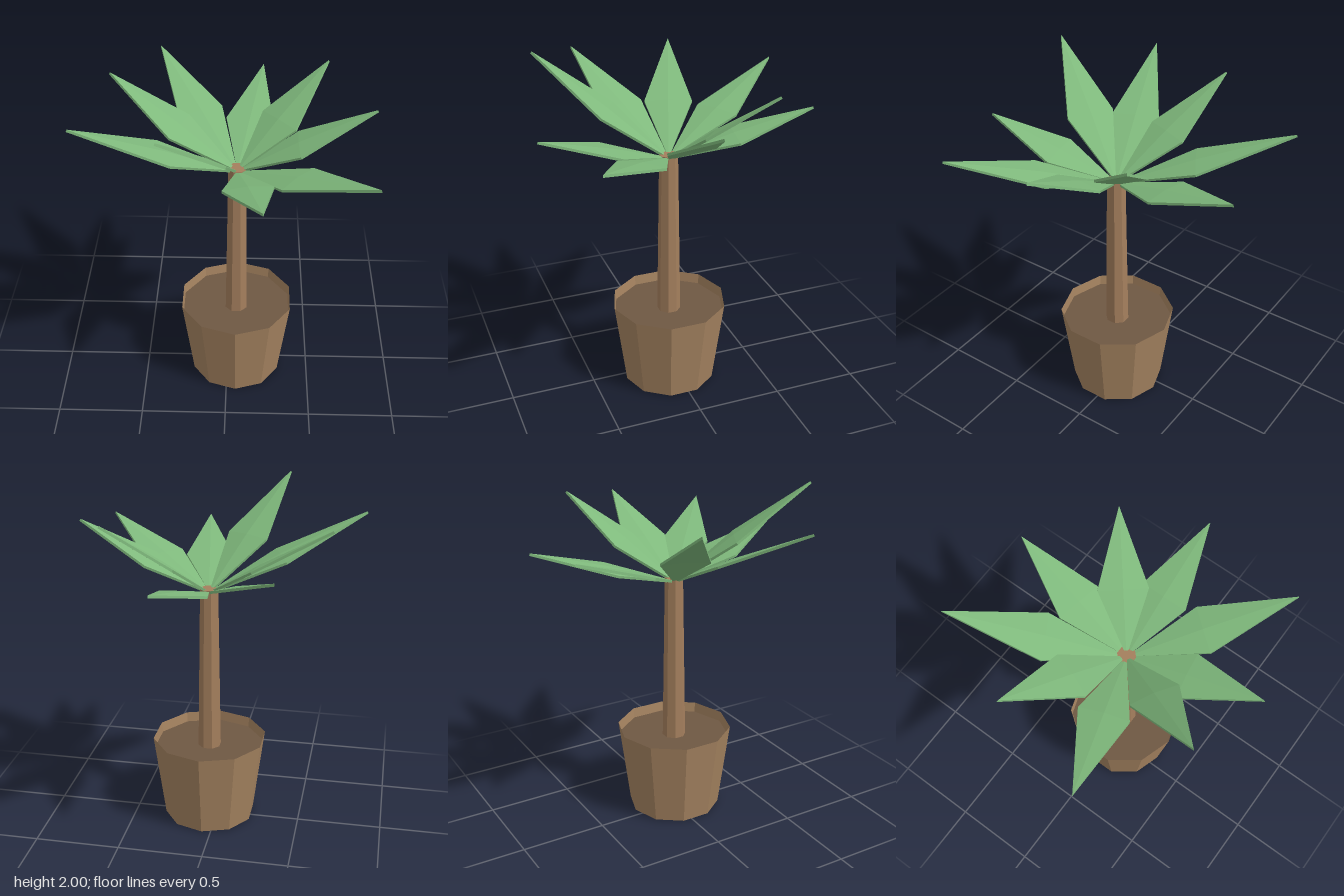
import * as THREE from 'three';

const material = (name, color) => {
  const m = new THREE.MeshStandardMaterial({ color, flatShading: true });
  m.name = name;
  return m;
};

// Kite-shaped leaf plate with a slight ridge, from the crown to its tip
function leafGeometry(base, tip) {
  const halfWidth = 0.138, widest = 0.455, ridge = 0.012, thickness = 0.014;
  const dir = tip.clone().sub(base);
  const side = new THREE.Vector3(0, 1, 0).cross(dir).normalize();
  const normal = dir.clone().cross(side).normalize();
  const centre = base.clone().addScaledVector(dir, widest);
  const spine = centre.clone().addScaledVector(normal, ridge);
  const outline = [
    base,
    centre.clone().addScaledVector(side, -halfWidth),
    tip,
    centre.clone().addScaledVector(side, halfWidth),
  ];
  const lower = (p) => p.clone().addScaledVector(normal, -thickness);
  const corners = [];
  outline.forEach((p, i) => {
    const q = outline[(i + 1) % 4];
    const pl = lower(p), ql = lower(q);
    corners.push(p, q, spine); // upper face
    corners.push(ql, pl, lower(spine)); // underside
    corners.push(pl, ql, q, pl, q, p); // rim
  });
  const geometry = new THREE.BufferGeometry().setFromPoints(corners);
  geometry.computeVertexNormals();
  return geometry;
}

export function createModel() {
  const model = new THREE.Group();
  model.name = 'pottedPalm';
  const potClay = material('potBrown', 0xa58360);
  potClay.side = THREE.DoubleSide;
  const soilBrown = material('soilBrown', 0x6f5843);
  const bark = material('barkBrown', 0xa47f5d);
  const leafGreen = material('leafGreen', 0x7fb97c);

  const cx = 0.055, cz = 0.03;
  const add = (name, geometry, mat, y, parent = model) => {
    const mesh = new THREE.Mesh(geometry, mat);
    mesh.name = name;
    mesh.position.set(cx, y, cz);
    parent.add(mesh);
    return mesh;
  };

  // Ten-sided tapered pot, open at the top
  const potHeight = 0.515, potBottom = 0.273, potTop = 0.34;
  add('potWall', new THREE.CylinderGeometry(potTop, potBottom, potHeight, 10, 1, true), potClay, potHeight / 2);
  const floor = new THREE.CircleGeometry(potBottom, 10, Math.PI / 2).rotateX(Math.PI / 2);
  add('potBase', floor, potClay, 0);

  // Soil set below the rim
  const soilY = 0.455;
  const soilRadius = potBottom + (potTop - potBottom) * soilY / potHeight;
  const soil = new THREE.CircleGeometry(soilRadius, 10, Math.PI / 2).rotateX(-Math.PI / 2);
  add('soil', soil, soilBrown, soilY);

  // Eight-sided trunk
  const trunkTop = 1.45, trunkHeight = trunkTop - soilY;
  const trunk = new THREE.CylinderGeometry(0.053, 0.069, trunkHeight, 8).rotateY(Math.PI / 8);
  add('trunk', trunk, bark, soilY + trunkHeight / 2);

  // Crown of leaves, given by their tips
  const crown = new THREE.Group();
  crown.name = 'crown';
  model.add(crown);
  const tips = [
    [0.795, 1.82, 0.025], [0.765, 1.715, 0.62], [0.19, 1.685, 0.79],
    [-0.32, 2.0, 0.68], [-0.8, 1.86, 0.335], [-0.65, 1.89, -0.23],
    [-0.42, 1.78, -0.8], [0.2, 1.675, -0.78], [0.555, 1.9, -0.39],
  ];
  const leafY = 1.43;
  tips.forEach(([x, y, z], i) => {
    const tip = new THREE.Vector3(x - cx, y - leafY, z - cz);
    add(`leaf${i + 1}`, leafGeometry(new THREE.Vector3(), tip), leafGreen, leafY, crown);
  });

  return model;
}
